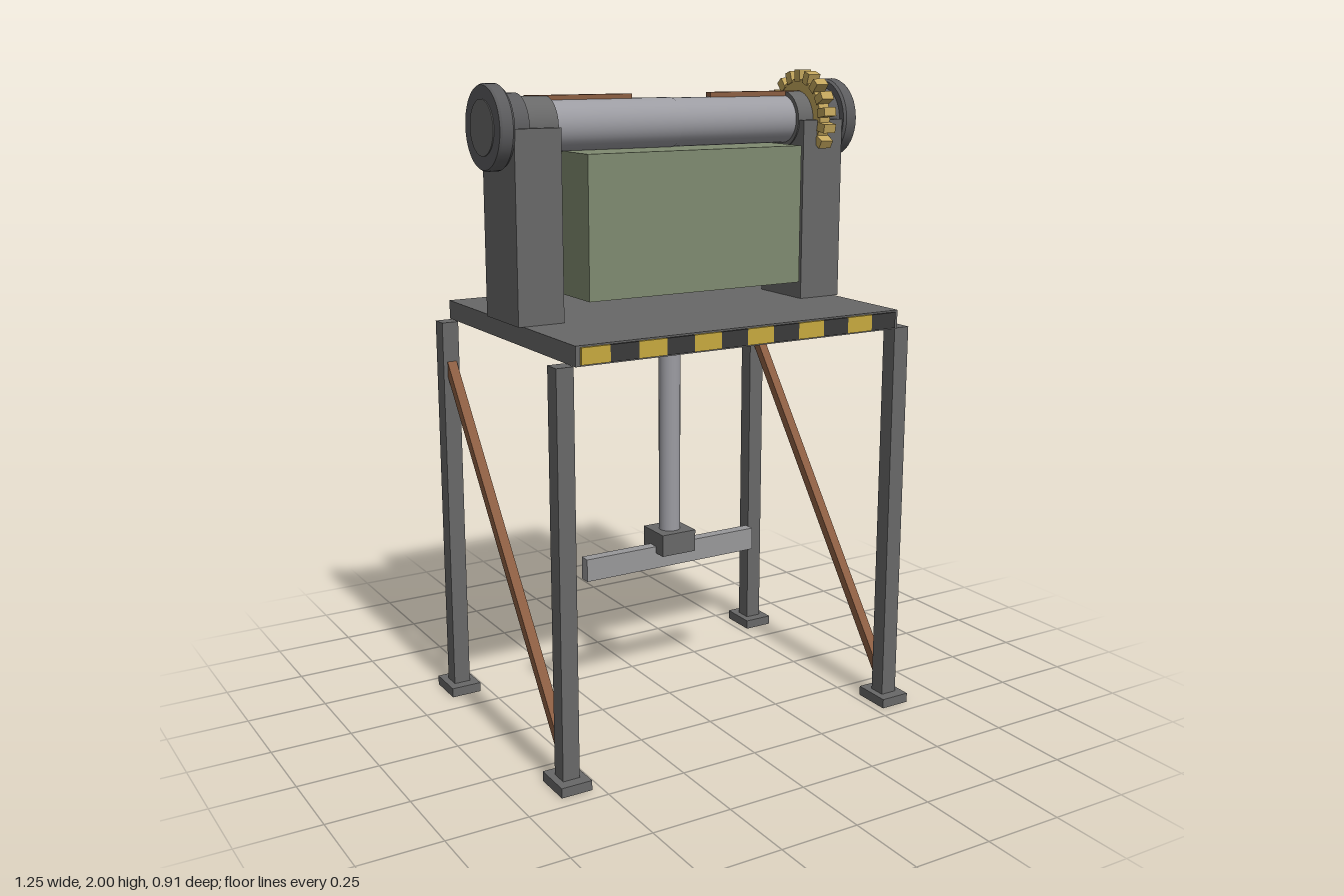
import * as THREE from 'three';

const mat = (name, color, extra = {}) => {
  const m = new THREE.MeshStandardMaterial({ color, ...extra });
  m.name = name;
  return m;
};

export function createModel() {
  const frame = mat('frame grey', 0x686868);
  const dark = mat('bearing grey', 0x5c5c5e);
  const steel = mat('steel', 0x9c9ca2);
  const barSteel = mat('bar steel', 0x98989a);
  const green = mat('olive green', 0x7f8a70);
  const copper = mat('copper brown', 0x8c5e42);
  const brass = mat('brass', 0xc2a55c);
  const yellow = mat('hazard yellow', 0xc6a93f);
  const black = mat('hazard black', 0x3a3a3a);

  const model = new THREE.Group();
  model.name = 'winchStand';

  const add = (name, geometry, material, x, y, z, parent = model) => {
    const mesh = new THREE.Mesh(geometry, material);
    mesh.name = name;
    mesh.position.set(x, y, z);
    parent.add(mesh);
    return mesh;
  };
  // Box given by its lower and upper limits
  const box = (name, material, [x0, x1], [y0, y1], [z0, z1]) =>
    add(name, new THREE.BoxGeometry(x1 - x0, y1 - y0, z1 - z0), material,
      (x0 + x1) / 2, (y0 + y1) / 2, (z0 + z1) / 2);
  // Cylinder lying along x between two limits, on the shaft axis
  const AXIS = 1.85;
  const roller = (name, material, r, x0, x1) =>
    add(name, new THREE.CylinderGeometry(r, r, x1 - x0, 40).rotateZ(Math.PI / 2),
      material, (x0 + x1) / 2, AXIS, 0);

  // Deck with hazard stripes along its front edge
  box('deck', frame, [-0.55, 0.55], [1.235, 1.293], [-0.432, 0.43]);
  const stripeWidth = 1.072 / 12;
  for (let i = 0; i < 12; i++) {
    const x = -0.536 + i * stripeWidth;
    box('hazardStripe', i % 2 ? black : yellow, [x, x + stripeWidth], [1.24, 1.288], [0.43, 0.438]);
  }

  for (const s of [-1, 1]) {
    // Legs and feet
    for (const t of [-1, 1]) {
      const x = s * 0.577, z = t * 0.393;
      add('leg', new THREE.BoxGeometry(0.053, 1.21, 0.053), frame, x, 0.63, z);
      add('foot', new THREE.BoxGeometry(0.097, 0.03, 0.122), frame, x, 0.015, z);
    }

    // Diagonal brace from the front foot to the back of the deck
    const dy = 1.05, dz = -0.78;
    const brace = add('brace', new THREE.BoxGeometry(0.03, Math.hypot(dy, dz), 0.03), copper, s * 0.575, 0.592, 0);
    brace.rotation.x = Math.atan2(dz, dy);

    // Bearing post, stepped bearing and end disc
    add('post', new THREE.BoxGeometry(0.146, AXIS - 1.293, 0.218), frame, s * 0.492, (AXIS + 1.293) / 2, 0);
    const span = (a, b) => (s > 0 ? [a, b] : [-b, -a]);
    roller('bearing', frame, 0.086, ...span(0.415, 0.515));
    roller('bearingCollar', dark, 0.096, ...span(0.51, 0.575));
    const profile = [[0, 0.565], [0.117, 0.565], [0.123, 0.573], [0.123, 0.605], [0.119, 0.612], [0, 0.612]];
    for (let i = 0; i + 1 < profile.length; i++) {
      // Each band is turned separately to keep its edges crisp
      const band = profile.slice(i, i + 2).map(([r, h]) => new THREE.Vector2(r, h));
      add('endDisc', new THREE.LatheGeometry(band, 40).rotateZ(-s * Math.PI / 2), dark, 0, AXIS, 0);
    }

    // Drum half and the copper key strip on top
    roller('drumHalf', steel, s < 0 ? 0.0745 : 0.073, ...span(0, 0.42));
    box('keyStrip', copper, span(0.137, 0.477), [1.91, 1.937], [-0.013, 0.013]);
  }
  roller('endCap', frame, 0.08, -0.615, -0.608);

  // Toothed wheel
  const gear = new THREE.Group();
  gear.name = 'gear';
  gear.position.set(0.489, AXIS, 0);
  model.add(gear);
  add('gearBody', new THREE.CylinderGeometry(0.122, 0.122, 0.038, 36).rotateZ(Math.PI / 2), brass, 0, 0, 0, gear);
  for (let i = 0; i < 18; i++) {
    const tooth = new THREE.BoxGeometry(0.044, 0.037, 0.027).translate(0, 0.1325, 0);
    add('gearTooth', tooth.rotateX((i / 18) * Math.PI * 2), brass, 0, 0, 0, gear);
  }

  // Load block hanging under the drum
  box('loadBlock', green, [-0.368, 0.367], [1.358, 1.778], [-0.273, 0.17]);

  // Screw column, hub and crossbar below the deck
  add('column', new THREE.CylinderGeometry(0.034, 0.034, 0.69, 24), steel, 0, 0.893, 0);
  box('hub', frame, [-0.06, 0.06], [0.5, 0.57], [-0.06, 0.06]);
  box('crossbar', barSteel, [-0.308, 0.307], [0.45, 0.522], [-0.018, 0.018]);

  return model;
}
